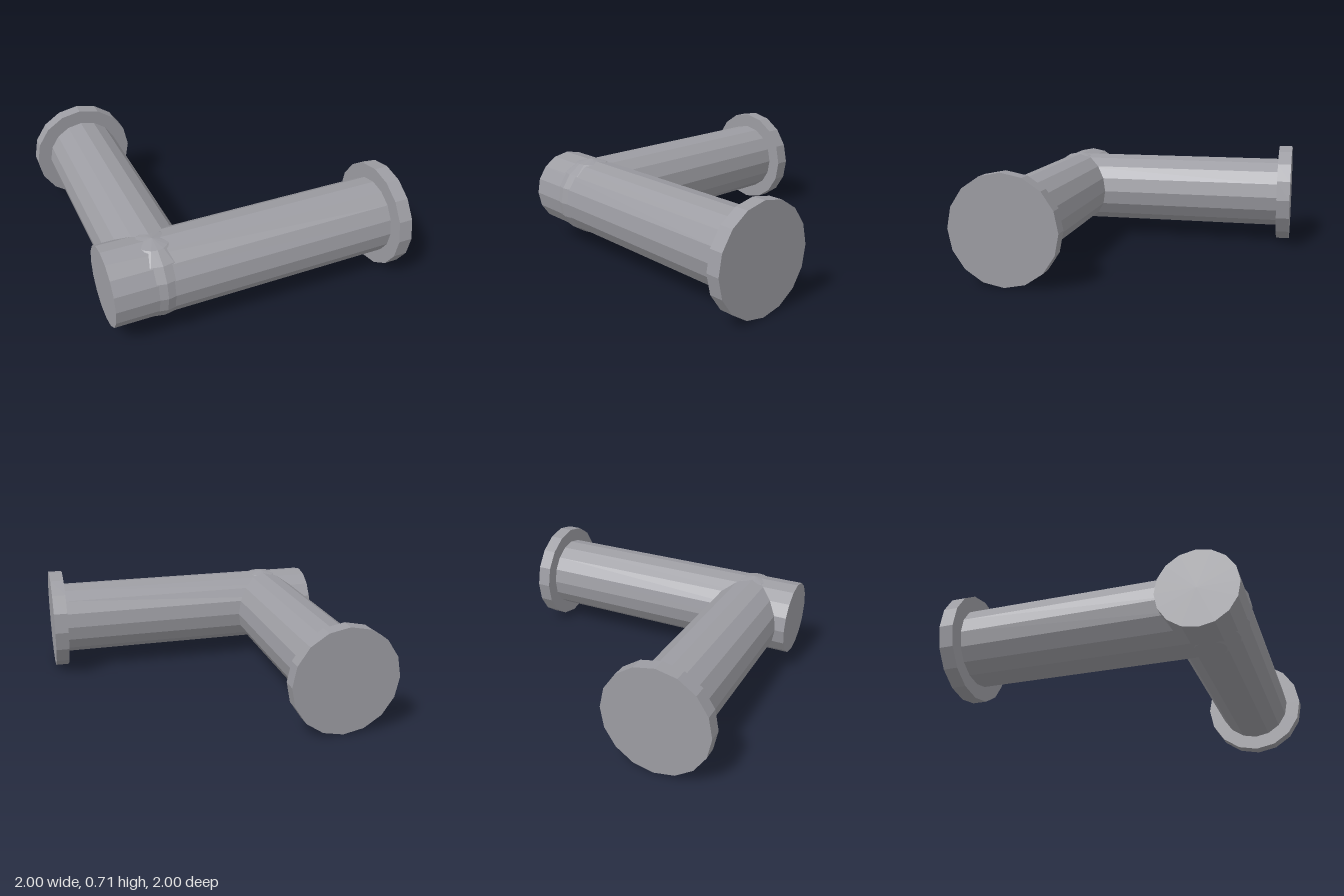
import * as THREE from 'three';

export function createModel() {
  const model = new THREE.Group();
  const metal = new THREE.MeshStandardMaterial({ color: 0x9c9ca2, flatShading: true });
  metal.name = 'grey metal';

  const SIDES = 16, Y = 0.353, CORNER = 0.648;
  const PIPE_R = 0.255, FLANGE_R = 0.353;

  // Closed cylinder running along x or z between two positions
  function rod(name, axis, radius, from, to) {
    const geo = new THREE.CylinderGeometry(radius, radius, to - from, SIDES);
    const mid = (from + to) / 2;
    if (axis === 'x') geo.rotateZ(-Math.PI / 2);
    else geo.rotateX(Math.PI / 2);
    const mesh = new THREE.Mesh(geo, metal);
    mesh.name = name;
    if (axis === 'x') mesh.position.set(mid, Y, CORNER);
    else mesh.position.set(-CORNER, Y, mid);
    model.add(mesh);
  }

  // Long pipe with its closed stub past the joint, and its end flange
  rod('mainPipe', 'x', PIPE_R, -0.968, 0.91);
  rod('mainFlange', 'x', FLANGE_R, 0.906, 1);

  // Branch pipe running to the back, and its end flange
  rod('branchPipe', 'z', PIPE_R, -0.91, CORNER);
  rod('branchFlange', 'z', FLANGE_R, -1, -0.906);

  // Ball joint, just proud of the pipes where they cross
  const ball = new THREE.Mesh(new THREE.SphereGeometry(0.265, SIDES, 8), metal);
  ball.name = 'jointBall';
  ball.position.set(-CORNER, Y, CORNER);
  model.add(ball);

  return model;
}
